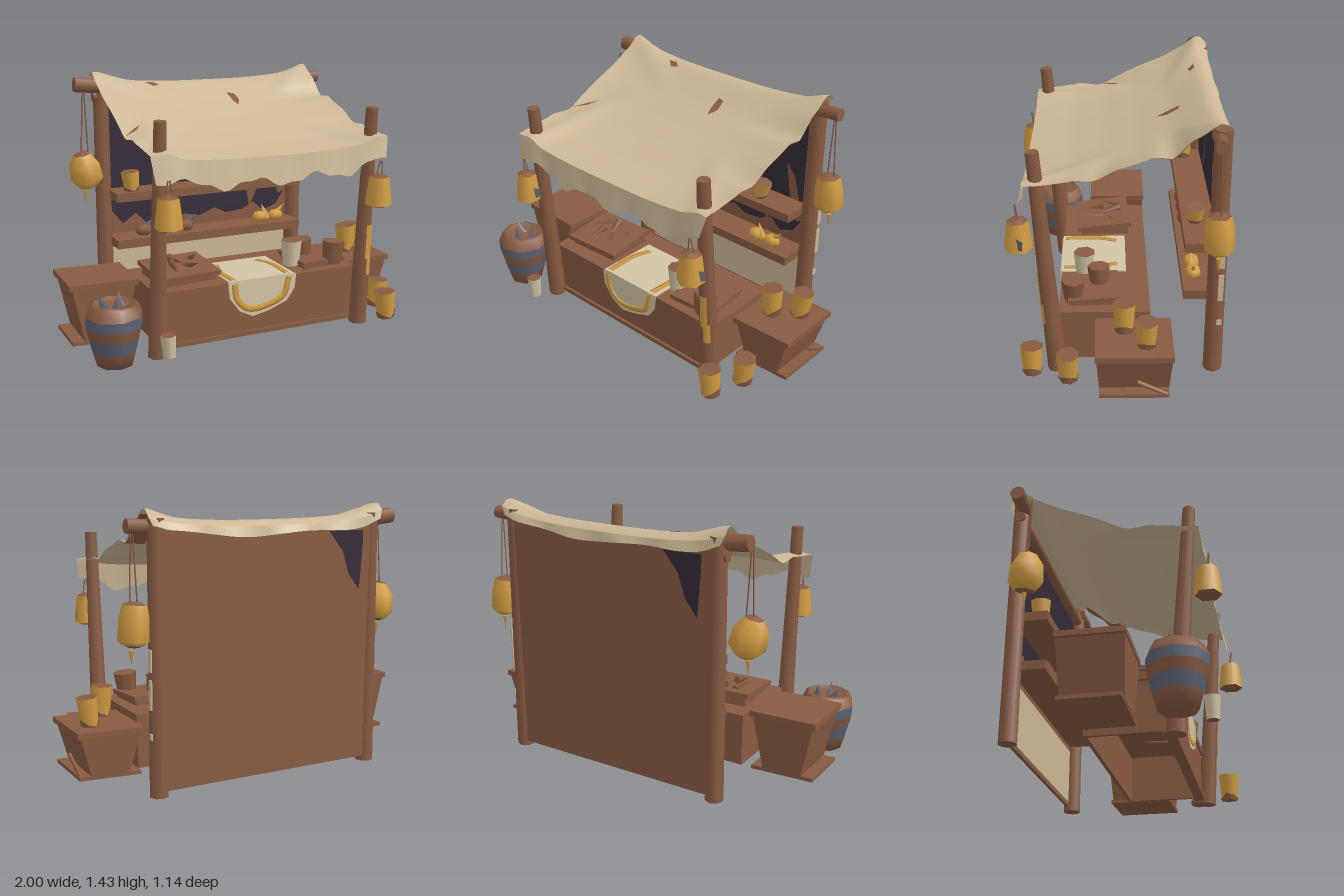
import * as THREE from 'three';

const mat = (name, color) => {
  const m = new THREE.MeshStandardMaterial({ color, side: THREE.DoubleSide });
  m.name = name;
  return m;
};

export function createModel() {
  const wood = mat('brown wood', 0x885b42);
  const canvas = mat('beige canvas', 0xcdb896);
  const ochre = mat('ochre clay', 0xd49e42);
  const purple = mat('dark purple cloth', 0x352b38);
  const blue = mat('slate blue paint', 0x5d6375);
  const cream = mat('cream cloth', 0xd2c5a6);

  const model = new THREE.Group();
  const add = (name, geo, m, x = 0, y = 0, z = 0, parent = model) => {
    const mesh = new THREE.Mesh(geo, m);
    mesh.name = name;
    mesh.position.set(x, y, z);
    parent.add(mesh);
    return mesh;
  };
  const box = (name, x0, x1, y0, y1, z0, z1, m = wood) =>
    add(name, new THREE.BoxGeometry(x1 - x0, y1 - y0, z1 - z0), m, (x0 + x1) / 2, (y0 + y1) / 2, (z0 + z1) / 2);
  // Tapered pole between two points
  const pole = (name, a, b, r0, r1 = r0, sides = 8) => {
    const A = new THREE.Vector3(...a), B = new THREE.Vector3(...b);
    const dir = B.clone().sub(A);
    const mesh = add(name, new THREE.CylinderGeometry(r1, r0, dir.length(), sides), wood);
    mesh.position.copy(A).add(B).multiplyScalar(0.5);
    mesh.quaternion.setFromUnitVectors(new THREE.Vector3(0, 1, 0), dir.normalize());
  };
  const shape = pts => new THREE.ShapeGeometry(new THREE.Shape(pts.map(p => new THREE.Vector2(...p))));
  const flat = (name, pts, m, z) => add(name, shape(pts), m, 0, 0, z);

  // Posts and the beam that carries the canopy
  pole('frontPostRight', [-0.585, 0, 0.325], [-0.58, 1.26, 0.415], 0.052, 0.034);
  pole('frontPostLeft', [0.655, 0, 0.325], [0.65, 1.26, 0.415], 0.052, 0.034);
  for (const x of [-0.6, 0.665]) pole('backPost', [x, 0, -0.505], [x, 1.38, -0.5], 0.05, 0.045);
  pole('beamMiddle', [-0.65, 1.285, -0.495], [0.7, 1.285, -0.495], 0.03);
  pole('beamEndRight', [-0.76, 1.36, -0.48], [-0.6, 1.345, -0.48], 0.042);
  pole('beamEndLeft', [0.63, 1.335, -0.48], [0.81, 1.345, -0.48], 0.036);

  // Worn paint on the posts
  const postPaint = (y, h, start, span) =>
    add('postPaint', new THREE.CylinderGeometry(0.049, 0.051, h, 8, 1, true, start, span), ochre, 0.654, y, 0.325 + y * 0.0714)
      .rotation.x = 0.0714;
  postPaint(0.5, 0.2, -0.2, 0.8);
  postPaint(0.36, 0.12, 0.1, 0.8);
  for (const [y0, y1] of [[0.45, 0.6], [0.64, 0.75], [0.3, 0.33]]) box('postPaint', 0.708, 0.716, y0, y1, -0.535, -0.508, canvas);

  // Back wall with its painted linings
  box('backWall', -0.6, 0.66, 0.03, 1.32, -0.538, -0.52);
  flat('wallLining', [[-0.55, 1.31], [-0.55, 0.6], [-0.48, 0.51], [-0.4, 0.57], [-0.33, 0.5], [-0.26, 0.54],
    [-0.18, 0.5], [-0.08, 0.53], [0.02, 0.51], [0.12, 0.55], [0.2, 0.51], [0.31, 0.52], [0.39, 0.56], [0.46, 0.5],
    [0.55, 0.53], [0.61, 0.62], [0.61, 1.31]], purple, -0.515);
  flat('wallStreak', [[-0.27, 0.7], [-0.18, 0.96], [-0.15, 1.05], [-0.18, 0.85]], wood, -0.511);
  flat('wallStreak', [[0.18, 1.0], [0.24, 0.8], [0.26, 0.74], [0.34, 0.66], [0.36, 0.53], [0.42, 0.66], [0.37, 0.74],
    [0.3, 0.82], [0.23, 0.98]], wood, -0.511);
  flat('wallStreak', [[0.48, 0.95], [0.52, 0.72], [0.57, 0.6], [0.61, 0.62], [0.58, 0.74], [0.54, 0.88]], wood, -0.511);
  box('lowerWallPanel', -0.55, 0.61, 0.05, 0.37, -0.52, -0.514, canvas);
  flat('wallTear', [[-0.31, 1.29], [-0.53, 1.29], [-0.53, 1.22], [-0.51, 0.97], [-0.44, 1.06], [-0.4, 1.18]], purple, -0.543);

  // Sagging canopy: height by depth, with lifted corners and creases
  const zs = [-0.54, -0.49, -0.44, -0.28, -0.1, 0.07, 0.25, 0.38, 0.47];
  const ys = [1.33, 1.362, 1.345, 1.255, 1.18, 1.125, 1.08, 1.062, 1.05];
  // Crease from a to b: height, width
  const creases = [
    [-0.65, -0.5, -0.25, -0.3, 0.03, 0.05], [0.72, -0.5, 0.42, -0.28, 0.025, 0.05],
    [0.74, -0.26, 0.42, -0.27, -0.05, 0.055], [-0.67, 0.1, -0.5, -0.15, -0.045, 0.07],
    [-0.56, 0.45, -0.48, 0, 0.03, 0.05], [0.66, 0.45, 0.42, 0.05, 0.025, 0.05], [0.73, 0.12, 0.55, 0.05, -0.03, 0.06],
  ];
  const crease = (x, z, [ax, az, bx, bz, h, w]) => {
    const dx = bx - ax, dz = bz - az;
    const t = Math.min(1, Math.max(0, ((x - ax) * dx + (z - az) * dz) / (dx * dx + dz * dz)));
    const d = Math.hypot(x - ax - t * dx, z - az - t * dz);
    return h * (1 - t * 0.8) * Math.max(0, 1 - d / (w * 1.6));
  };
  const canopyY = (x, z) => {
    let i = 0;
    while (i < zs.length - 2 && z > zs[i + 1]) i++;
    const t = (z - zs[i]) / (zs[i + 1] - zs[i]);
    const u = Math.abs((x - 0.033) / 0.688);
    return creases.reduce((y, c) => y + crease(x, z, c), ys[i] + (ys[i + 1] - ys[i]) * t + 0.05 * u ** 3);
  };
  const drapeOver = (g, lift) => {
    const p = g.attributes.position;
    for (let i = 0; i < p.count; i++) p.setY(i, canopyY(p.getX(i), p.getZ(i)) + lift);
    g.computeVertexNormals();
    return g;
  };
  add('canopy', drapeOver(new THREE.PlaneGeometry(1.375, 1.01, 44, 32).rotateX(-Math.PI / 2).translate(0.033, 0, -0.035), 0), canvas);

  // Ragged strips hanging from the front and back edges
  const hang = (name, z, lean, depth) => {
    const g = new THREE.PlaneGeometry(1.375, 1, 44, 3).translate(0.033, 0, 0);
    const p = g.attributes.position;
    for (let i = 0; i < p.count; i++) {
      const x = p.getX(i), t = 0.5 - p.getY(i);
      p.setXYZ(i, x * (1 - 0.03 * t), canopyY(x, z) - t * depth(x), z + lean * t + 0.006 * t * Math.sin(x * 19));
    }
    g.computeVertexNormals();
    add(name, g, canvas);
  };
  hang('frontValance', 0.47, 0.02, x => 0.13 + 0.022 * Math.sin(x * 17) + 0.01 * Math.sin(x * 41));
  hang('backHem', -0.54, -0.014, x => 0.045 + 0.01 * Math.sin(x * 9));

  // Worn patches on the canopy, above and along the left edge below
  const patch = (pts, lift = 0.007) =>
    add('canopyPatch', drapeOver(shape(pts.map(([x, z]) => [x, -z])).rotateX(-Math.PI / 2), lift), wood);
  patch([[0.12, -0.33], [0.16, -0.32], [0.17, -0.26], [0.14, -0.21], [0.125, -0.25]]);
  patch([[-0.35, -0.44], [-0.3, -0.445], [-0.27, -0.42], [-0.31, -0.405]]);
  patch([[-0.65, 0.08], [-0.58, 0.01], [-0.53, -0.03], [-0.57, 0.03]]);
  add('canopyStain', drapeOver(new THREE.PlaneGeometry(0.1, 0.24, 5, 10).rotateX(-Math.PI / 2).translate(0.667, 0, -0.32), -0.006), wood);

  // Wall shelves
  for (const y of [0.43, 0.71]) box('wallShelf', -0.57, 0.63, y - 0.025, y + 0.025, -0.52, -0.34);

  // Hollow counter
  box('counterFront', -0.56, 0.62, 0.03, 0.31, 0.28, 0.3);
  box('counterBack', -0.56, 0.62, 0.03, 0.31, -0.14, -0.12);
  for (const x of [-0.56, 0.6]) box('counterSide', x, x + 0.02, 0.03, 0.31, -0.14, 0.3);
  box('counterTop', -0.58, 0.64, 0.3, 0.335, -0.17, 0.31);
  box('counterBaseRail', -0.57, 0.63, 0.02, 0.045, 0.26, 0.315);

  // Display trays with goods
  const tray = (x, y, z, w, d, tilt) => {
    const g = new THREE.Group();
    g.name = 'displayTray';
    g.position.set(x, y, z);
    g.rotation.set(tilt, 0.06, 0);
    model.add(g);
    add('trayBody', new THREE.BoxGeometry(w * 0.88, 0.07, d * 0.88), wood, 0, -0.02, 0, g);
    add('trayLid', new THREE.BoxGeometry(w, 0.025, d), wood, 0, 0.025, 0, g);
    return g;
  };
  const goods = tray(-0.36, 0.365, 0.08, 0.36, 0.32, 0.08);
  for (let i = 0; i < 5; i++)
    add('driedGoods', new THREE.ConeGeometry(0.025, 0.12, 4), wood, -0.1 + i * 0.05, 0.05, (i % 2) * 0.1 - 0.05, goods)
      .rotation.set(1.3, i * 1.2, 0.4);
  tray(0.45, 0.345, 0.13, 0.28, 0.28, 0.03);

  // Cloth draped over the counter, with an ochre border
  box('clothTop', -0.16, 0.24, 0.336, 0.344, -0.05, 0.315, cream);
  flat('clothFront', [[-0.17, 0.344], [-0.16, 0.25], [-0.1, 0.17], [-0.02, 0.13], [0.08, 0.15], [0.19, 0.19],
    [0.24, 0.26], [0.25, 0.344]], cream, 0.319);
  const border = pts => new THREE.TubeGeometry(new THREE.CatmullRomCurve3(pts.map(p => new THREE.Vector3(...p))), 20, 0.018, 4);
  add('clothBorder', border([[-0.13, 0.33, 0], [-0.12, 0.25, 0], [-0.05, 0.18, 0], [0.07, 0.185, 0], [0.17, 0.23, 0],
    [0.2, 0.33, 0]]).scale(1, 1, 0.2), ochre, 0, 0, 0.321);
  add('clothTopBorder', border([[-0.13, 0, 0.3], [-0.13, 0, 0.1], [-0.1, 0, 0]]).scale(1, 0.2, 1), ochre, 0, 0.345, 0);
  add('clothTopBorder', border([[0.2, 0, 0.3], [0.2, 0, 0.1], [0.16, 0, 0]]).scale(1, 0.2, 1), ochre, 0, 0.345, 0);

  // Side crates: tapered body, broad lid and base board
  const crate = (x0, x1, z0, z1, h) => {
    const w = x1 - x0, side = Math.sign(x0);
    const g = new THREE.BoxGeometry(w * 0.92, h - 0.07, (z1 - z0) * 0.97);
    const p = g.attributes.position;
    for (let i = 0; i < p.count; i++) if (p.getY(i) < 0) { p.setX(i, p.getX(i) * 0.62); p.setZ(i, p.getZ(i) * 0.93); }
    g.computeVertexNormals();
    add('crateBody', g, wood, (x0 + x1) / 2, h / 2 + 0.02, (z0 + z1) / 2);
    box('crateLid', x0, x1, h - 0.03, h, z0, z1).rotation.z = side * 0.025;
    box('crateBase', x0 + w * 0.03, x1 - w * 0.03, 0.045, 0.065, z0 + 0.02, z1 - 0.02).rotation.z = side * 0.04;
  };
  crate(0.64, 1.0, -0.275, 0.12, 0.3);
  crate(-1.0, -0.62, -0.18, 0.16, 0.385);
  pole('looseStick', [0.985, 0.15, -0.09], [0.975, 0.06, -0.25], 0.012);

  // Jars with jagged brown drips around the foot: x, base y, z, radius, height, colour, lean
  const jar = (x, y, z, r, h, side, lean) => {
    const g = new THREE.Group();
    g.name = 'jar';
    g.position.set(x, y + h / 2, z);
    g.rotation.z = lean;
    model.add(g);
    add('jarBody', new THREE.CylinderGeometry(r, r * 0.78, h, 7), [side, wood, wood], 0, 0, 0, g);
    if (side !== ochre) return;
    const s = new THREE.CylinderGeometry(r * 0.9, r * 0.81, h * 0.3, 7, 1, true);
    const p = s.attributes.position;
    for (let i = 0; i < 8; i++) p.setY(i, h * [-0.1, 0.12, 0.16, -0.02, -0.12, 0.1, 0.02, -0.1][i]);
    add('jarDrips', s, wood, 0, -h * 0.35, 0, g);
  };
  [[0.78, 0.32, -0.03, 0.06, 0.16, ochre, 0.05], [0.895, 0.3, -0.14, 0.058, 0.155, ochre, -0.1],
    [0.76, 0.05, 0.45, 0.062, 0.155, ochre, 0.1], [0.83, 0.05, 0.26, 0.062, 0.16, ochre, -0.08],
    [0.29, 0.35, 0.18, 0.06, 0.145, cream, 0], [0.4, 0.36, 0.1, 0.064, 0.11, wood, 0.1], [0.53, 0.345, 0.235, 0.066, 0.13, wood, -0.1],
    [-0.585, 0.06, 0.5, 0.042, 0.12, cream, 0.05],
    [-0.46, 0.735, -0.41, 0.055, 0.115, ochre, 0.08], [0.39, 0.735, -0.41, 0.048, 0.1, ochre, -0.3],
  ].forEach(a => jar(...a));

  // Small pointed wares on the lower shelf
  [[-0.39, blue], [-0.26, wood], [-0.12, blue], [0.38, ochre], [0.49, ochre]].forEach(([x, m], i) => {
    add('shelfWare', new THREE.SphereGeometry(0.045, 6, 4), i < 3 ? wood : m, x, 0.49, -0.4).scale.set(1.2, 0.8, 1);
    add('wareSpout', new THREE.ConeGeometry(0.028, 0.1, 4), m, x + 0.03, 0.525, -0.4).rotation.z = i % 2 ? 0.4 : -0.8;
  });

  // Hanging lanterns: profile as radius and height, brown base and cap
  const lantern = (x, y, z, profile, cordTop, lean) => {
    const g = new THREE.Group();
    g.name = 'hangingLantern';
    g.position.set(x, y, z);
    g.rotation.set(lean / 2, 0, lean);
    model.add(g);
    const pts = profile.map(p => new THREE.Vector2(...p));
    const [low, high] = [pts[0], pts[pts.length - 1]];
    add('lanternBody', new THREE.LatheGeometry(pts, 6), ochre, 0, 0, 0, g);
    add('lanternBase', new THREE.CylinderGeometry(low.x, low.x * 0.5, 0.012, 6), wood, 0, low.y - 0.005, 0, g);
    add('lanternCap', new THREE.CylinderGeometry(high.x * 0.4, high.x, 0.015, 6), wood, 0, high.y + 0.007, 0, g);
    for (const s of [-1, 1]) pole('lanternCord', [x + s * 0.02, y + high.y, z], [x + s * 0.005, cordTop, z + 0.01], 0.004, 0.004, 4);
  };
  lantern(-0.73, 0.875, -0.415, [[0.055, -0.095], [0.097, -0.05], [0.09, 0.04], [0.05, 0.1]], 1.32, 0.2);
  lantern(0.78, 0.875, -0.49, [[0.055, -0.1], [0.078, -0.08], [0.075, 0.03], [0.062, 0.095]], 1.32, 0.08);
  for (const x of [-0.575, 0.655]) {
    lantern(x, 0.815, 0.5, [[0.072, -0.08], [0.068, -0.03], [0.055, 0.075]], 0.98, 0);
    flat('lanternPatch', [[-0.04, -0.065], [0.015, -0.06], [0.02, -0.01], [-0.03, 0.005]], blue, 0).position.set(x + 0.065, 0.815, 0.49);
    model.children[model.children.length - 1].rotation.y = Math.PI / 2 - 0.52;
  }
  for (const [x, y, z] of [[-0.73, 0.72, -0.42], [0.795, 0.71, -0.49]])
    add('lanternTassel', new THREE.ConeGeometry(0.014, 0.08, 4), ochre, x, y, z).rotation.x = Math.PI;

  // Painted barrel with fish standing in it
  const barrel = [[0, 0.02], [0.095, 0.02], [0.118, 0.1], [0.135, 0.17], [0.15, 0.23], [0.152, 0.285], [0.128, 0.34], [0.1, 0.35], [0.095, 0.32], [0, 0.32]];
  [['barrelFoot', 0, 3, wood], ['barrelBand', 2, 4, blue], ['barrelMiddle', 3, 5, wood], ['barrelShoulder', 4, 6, blue], ['barrelRim', 5, 10, wood]]
    .forEach(([name, a, b, m]) => add(name, new THREE.LatheGeometry(barrel.slice(a, b).map(p => new THREE.Vector2(...p)), 8), m, -0.83, 0, 0.37));
  for (let i = 0; i < 3; i++)
    add('fishTail', new THREE.ConeGeometry(0.03, 0.11, 4), blue, -0.88 + i * 0.05, 0.34, 0.34 + (i % 2) * 0.07)
      .rotation.set(0.2, i, 0.5 - i * 0.5);
  return model;
}
